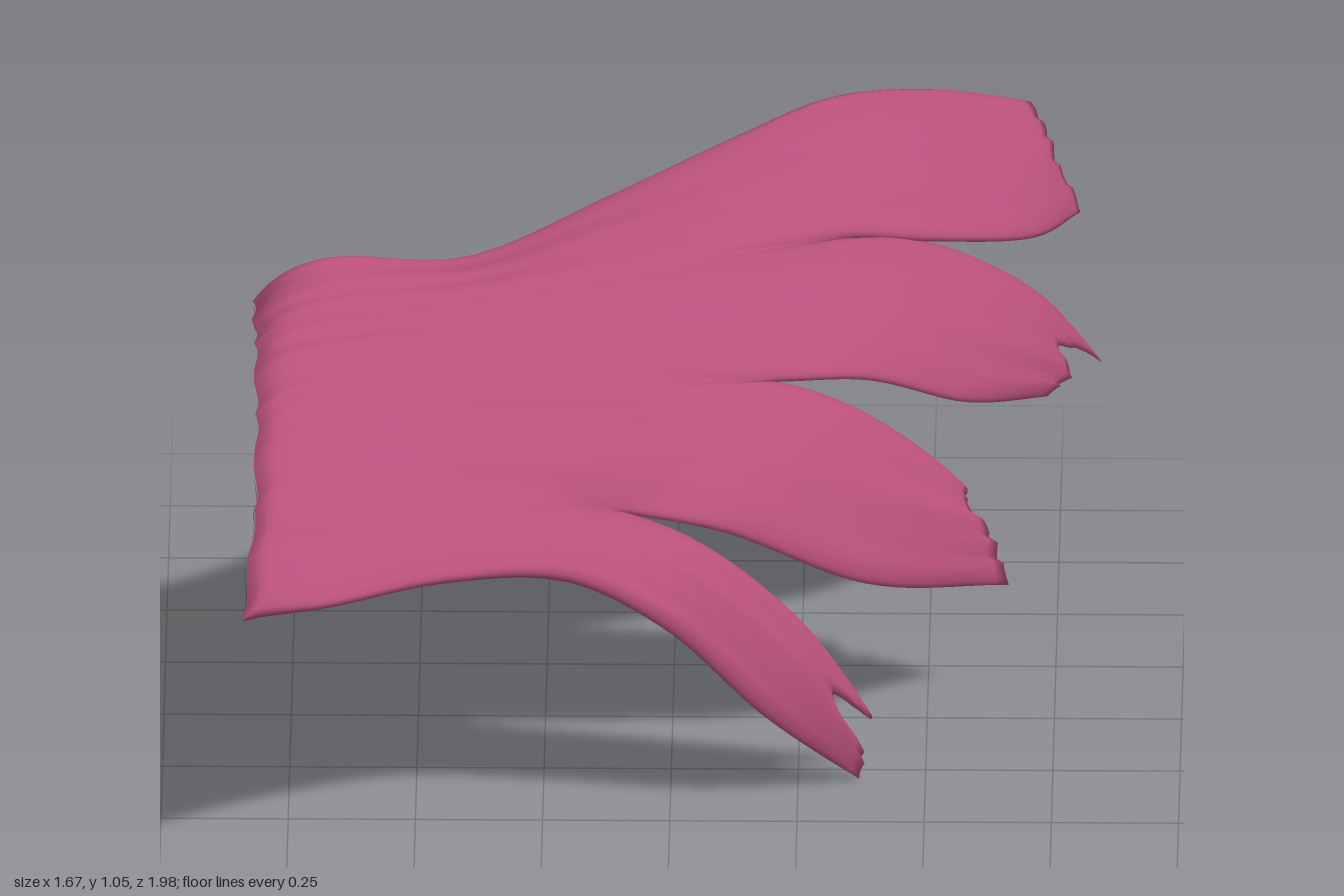
import * as THREE from 'three';
import { mergeVertices } from 'three/addons/utils/BufferGeometryUtils.js';

const vec = (x, y, z) => new THREE.Vector3(x, y, z);
const curve = (...points) => new THREE.CatmullRomCurve3(points);
const UP = vec(0.45, 0.75, 0.48).normalize(); // thickness direction

// Lines from the root to the notches, back to front; the first and last are free edges
const seams = [
  curve(vec(-0.825, 1.01, 0.15), vec(-0.68, 1.04, 0.13), vec(-0.42, 0.955, -0.06), vec(-0.12, 0.965, -0.36), vec(0.13, 1.01, -0.55)),
  curve(vec(-0.82, 1, 0.35), vec(-0.55, 0.975, 0.22), vec(-0.2, 0.94, 0), vec(0.33, 0.87, -0.36)),
  curve(vec(-0.815, 0.93, 0.56), vec(-0.55, 0.89, 0.42), vec(-0.22, 0.825, 0.25), vec(0.2, 0.74, 0.04)),
  curve(vec(-0.815, 0.81, 0.78), vec(-0.6, 0.785, 0.68), vec(-0.35, 0.725, 0.55), vec(-0.09, 0.625, 0.42)),
  curve(vec(-0.835, 0.655, 0.99), vec(-0.68, 0.655, 0.95), vec(-0.44, 0.64, 0.79), vec(-0.2, 0.58, 0.645)),
];

// Each finger: points along its back and front edges, then place and depth of the split in its tip
const fingers = [
  { back: [vec(0.3, 1.03, -0.68), vec(0.5, 0.975, -0.845), vec(0.69, 0.885, -0.99)],
    front: [vec(0.5, 0.82, -0.46), vec(0.7, 0.73, -0.68), vec(0.79, 0.685, -0.905)], split: 0.6, depth: 0.03 },
  { back: [vec(0.5, 0.81, -0.475), vec(0.7, 0.65, -0.61), vec(0.835, 0.445, -0.72)],
    front: [vec(0.38, 0.7, -0.06), vec(0.57, 0.58, -0.225), vec(0.73, 0.485, -0.465)], split: 0.3, depth: 0.14 },
  { back: [vec(0.33, 0.69, 0.02), vec(0.46, 0.59, -0.025), vec(0.58, 0.46, -0.075)],
    front: [vec(0.1, 0.565, 0.37), vec(0.38, 0.39, 0.225), vec(0.66, 0.265, -0.05)], split: 0.25, depth: 0.06 },
  { back: [vec(0.06, 0.555, 0.41), vec(0.25, 0.37, 0.355), vec(0.395, 0.125, 0.27)],
    front: [vec(-0.01, 0.45, 0.58), vec(0.18, 0.22, 0.475), vec(0.37, 0, 0.295)], split: 0.42, depth: 0.16 },
];

const M = 24, N = 54, C = 32; // rows to the notch, rows in all, columns per finger
const round = (d) => Math.sqrt(Math.max(0, 1 - (1 - Math.min(1, d)) ** 2));

// Ragged tip: one V-shaped split plus small teeth
function tipCut({ split, depth }, s) {
  const v = Math.max(0, 1 - Math.abs(s - split) / 0.28);
  return depth * v + 0.03 * ((s * 5) % 1) * Math.sin(Math.PI * s);
}

// One edge of a finger: free edges run smoothly through, seams are shared up to the notch
function makeEdge(seam, tip, free) {
  const full = curve(...seam.points, ...tip);
  const notch = (seam.points.length - 1) / (full.points.length - 1);
  return {
    base: (u) => (free ? full.getPoint(u * notch) : seam.getPoint(u)),
    tip: (u) => full.getPoint(notch + u * (1 - notch)),
  };
}

function buildFinger(finger, k, positions, indices) {
  const back = makeEdge(seams[k], finger.back, k === 0);
  const front = makeEdge(seams[k + 1], finger.front, k === 3);
  for (const side of [1, -1]) {
    const start = positions.length / 3;
    for (let i = 0; i <= N; i++) {
      const inBase = i <= M;
      const part = inBase ? 'base' : 'tip';
      // rows are closer together at the root lip
      const u = inBase ? (i / M) ** 1.4 : (i - M) / (N - M);
      for (let j = 0; j <= C; j++) {
        const s = 0.3 * (1 - Math.cos(Math.PI * j / C)) + 0.4 * j / C;
        const t = inBase ? u : u * (1 - tipCut(finger, s) * u * u);
        const p = back[part](t).lerp(front[part](t), s);

        // free edges are rounded off, shared seams keep their thickness
        const weld = Math.min(1, Math.max(0, (M - i) / 4));
        const rim = Math.max(round(s / 0.12), k > 0 ? weld : 0)
          * Math.max(round((1 - s) / 0.12), k < 3 ? weld : 0);
        const ends = round((i + 0.01) / 4) * round((N - i) / 4);
        const half = (inBase ? 0.017 + 0.013 * (1 - u) ** 4 : 0.017 - 0.004 * u) * rim * ends;

        // arched section with fine strand folds
        const arch = (inBase ? 0.006 + 0.014 * u * u : 0.02 + 0.006 * u) * Math.sin(Math.PI * s);
        const folds = 0.0025 * Math.sin(5 * Math.PI * s) * Math.sin(i * 0.13 + k)
          + 0.0015 * Math.sin(8 * Math.PI * s) * Math.cos(i * 0.1 + k * 2);
        p.addScaledVector(UP, arch + folds + side * half);

        // root lip curls down, most at the back, with a slightly uneven rim
        if (inBase) {
          const lip = (1 - u) ** 14;
          p.y -= lip * (0.055 - 0.045 * (k + s) / 4);
          p.x += lip * 0.005 * Math.sin(3 * Math.PI * s);
        }
        positions.push(p.x, p.y, p.z);
      }
    }
    for (let i = 0; i < N; i++) {
      for (let j = 0; j < C; j++) {
        const a = start + i * (C + 1) + j, b = a + C + 1, c = a + 1, d = b + 1;
        if (side > 0) indices.push(a, c, b, c, d, b);
        else indices.push(a, b, c, c, b, d);
      }
    }
  }
}

export function createModel() {
  const group = new THREE.Group();
  group.name = 'feathered fin';
  const rose = new THREE.MeshStandardMaterial({ color: 0xb8507a });
  rose.name = 'rose';

  // All four fingers are welded along their seams into one smooth skin
  const positions = [], indices = [];
  fingers.forEach((finger, k) => buildFinger(finger, k, positions, indices));
  const sheet = new THREE.BufferGeometry();
  sheet.setAttribute('position', new THREE.Float32BufferAttribute(positions, 3));
  sheet.setIndex(indices);
  const skin = mergeVertices(sheet, 1e-5);
  skin.computeVertexNormals();

  const fin = new THREE.Mesh(skin, rose);
  fin.name = 'fin with four fingers';
  group.add(fin);
  return group;
}
